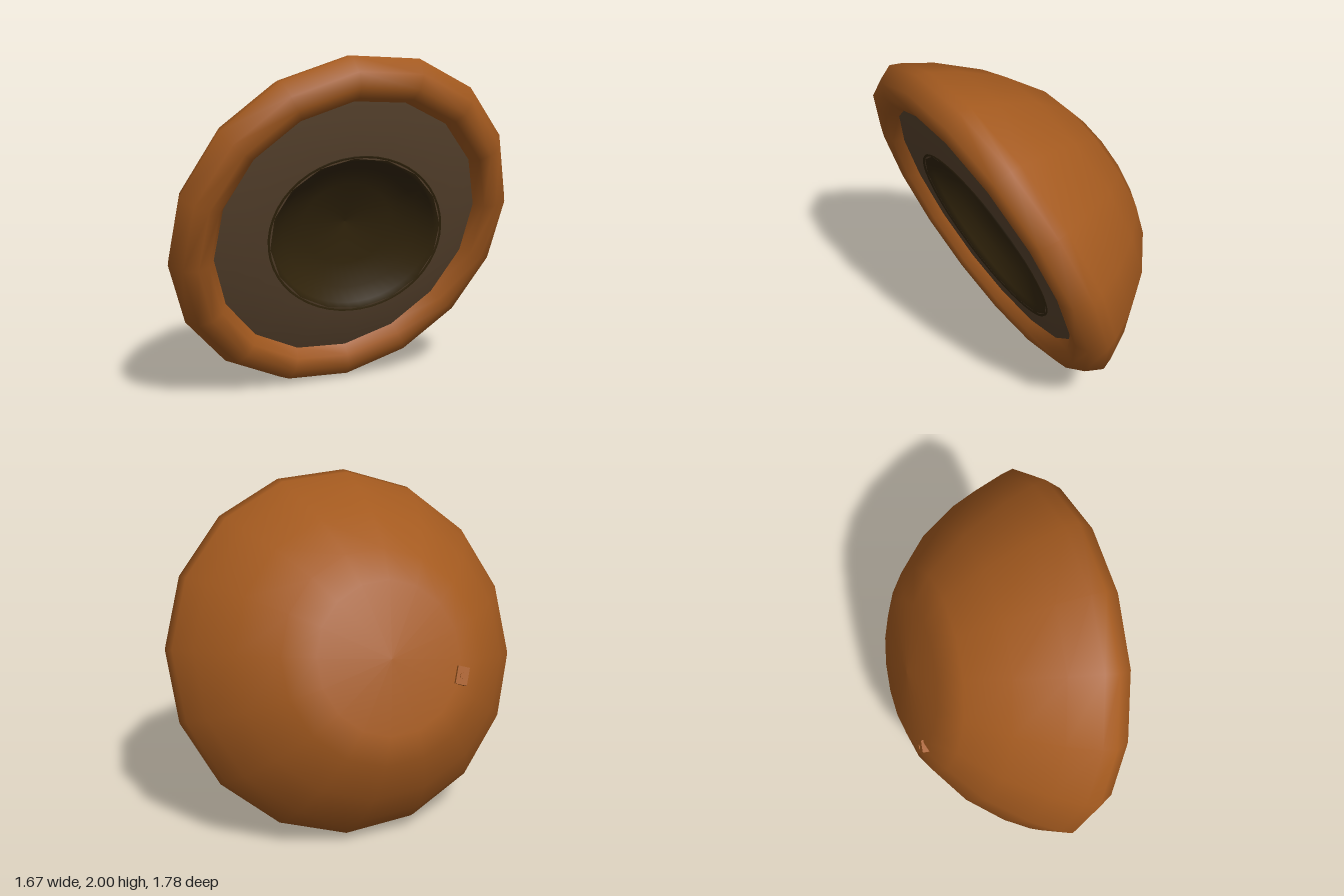
import * as THREE from 'three';

const material = (name, color, extra = {}) => {
  const m = new THREE.MeshStandardMaterial({ color, ...extra });
  m.name = name;
  return m;
};

// Surface of revolution about the cap's own axis (+y is the open side),
// with every vertex then moved by a rule
function turned(name, profile, sides, mat, move) {
  const points = profile.map(([r, a]) => new THREE.Vector2(r, a));
  const geometry = new THREE.LatheGeometry(points, sides);
  const position = geometry.attributes.position;
  const v = new THREE.Vector3();
  for (let i = 0; i < position.count; i++) {
    move(v.fromBufferAttribute(position, i));
    position.setXYZ(i, v.x, v.y, v.z);
  }
  const mesh = new THREE.Mesh(geometry, mat);
  mesh.name = name;
  return mesh;
}

// The crown leans a little downwards
const leanCrown = (v) => {
  const depth = Math.max(0, -v.y);
  v.x -= 0.02 * depth;
  v.z -= 0.1 * depth;
};

// The hollow is a slanted, slightly off-centre oval; the underside blends into it
const ovalHollow = (v) => {
  const w = THREE.MathUtils.clamp((0.83 - Math.hypot(v.x, v.z)) / 0.3, 0, 1);
  const along = -0.8 * v.x - 0.6 * v.z;
  v.x += w * (-0.08 * v.x - 0.8 * 0.165 * along - 0.04);
  v.z += w * (-0.08 * v.z - 0.6 * 0.165 * along - 0.03);
};

export function createModel() {
  const orange = material('cap orange', 0xa45a1f);
  const brown = material('underside brown', 0x5c4630, { side: THREE.DoubleSide });
  const dark = material('hollow dark brown', 0x35270d, { side: THREE.DoubleSide });

  const cap = new THREE.Group();
  cap.name = 'cap';

  // Outer shell: flattened crown, sloping side and rolled rim
  cap.add(turned('shell', [
    [0, -0.71], [0.42, -0.69], [0.59, -0.61], [0.8, -0.43], [0.965, -0.21], [1.05, -0.05],
    [1.075, 0.02], [1.02, 0.115], [0.94, 0.145], [0.87, 0.125], [0.825, 0.065],
  ], 16, orange, leanCrown));

  // Underside ring and the shallow hollow in its middle
  cap.add(turned('underside', [[0.835, 0.065], [0.68, 0.092], [0.53, 0.1]], 16, brown, ovalHollow));
  cap.add(turned('hollow', [
    [0.55, 0.08], [0.54, 0.108], [0.5, 0.075], [0.42, 0.015], [0.28, -0.045], [0, -0.08],
  ], 48, dark, ovalHollow));

  // Tilt the open side towards the front left and slightly down
  const center = new THREE.Vector3(0.03, 1.0, 0.01);
  const axis = new THREE.Vector3(0.697, -0.342, 0.63).normalize();
  const xAxis = new THREE.Vector3().crossVectors(axis, new THREE.Vector3(0.158, 0.933, 0.323)).normalize();
  const zAxis = new THREE.Vector3().crossVectors(xAxis, axis);
  cap.quaternion.setFromRotationMatrix(new THREE.Matrix4().makeBasis(xAxis, axis, zAxis));
  cap.position.copy(center);

  // Small plate with a round stud on the crown
  const spot = new THREE.Vector3(-0.77, 1.04, -0.2).sub(center)
    .applyQuaternion(cap.quaternion.clone().invert());
  const tab = new THREE.Group();
  tab.name = 'crownTab';
  const plate = new THREE.Mesh(new THREE.BoxGeometry(0.07, 0.04, 0.1), orange);
  plate.name = 'tabPlate';
  const stud = new THREE.Mesh(new THREE.CylinderGeometry(0.016, 0.016, 0.05, 8), orange);
  stud.name = 'tabStud';
  tab.add(plate, stud);
  tab.position.set(spot.x, -0.685, spot.z);
  tab.rotation.y = 0.2;
  cap.add(tab);

  const model = new THREE.Group();
  model.name = 'model';
  model.add(cap);
  return model;
}
